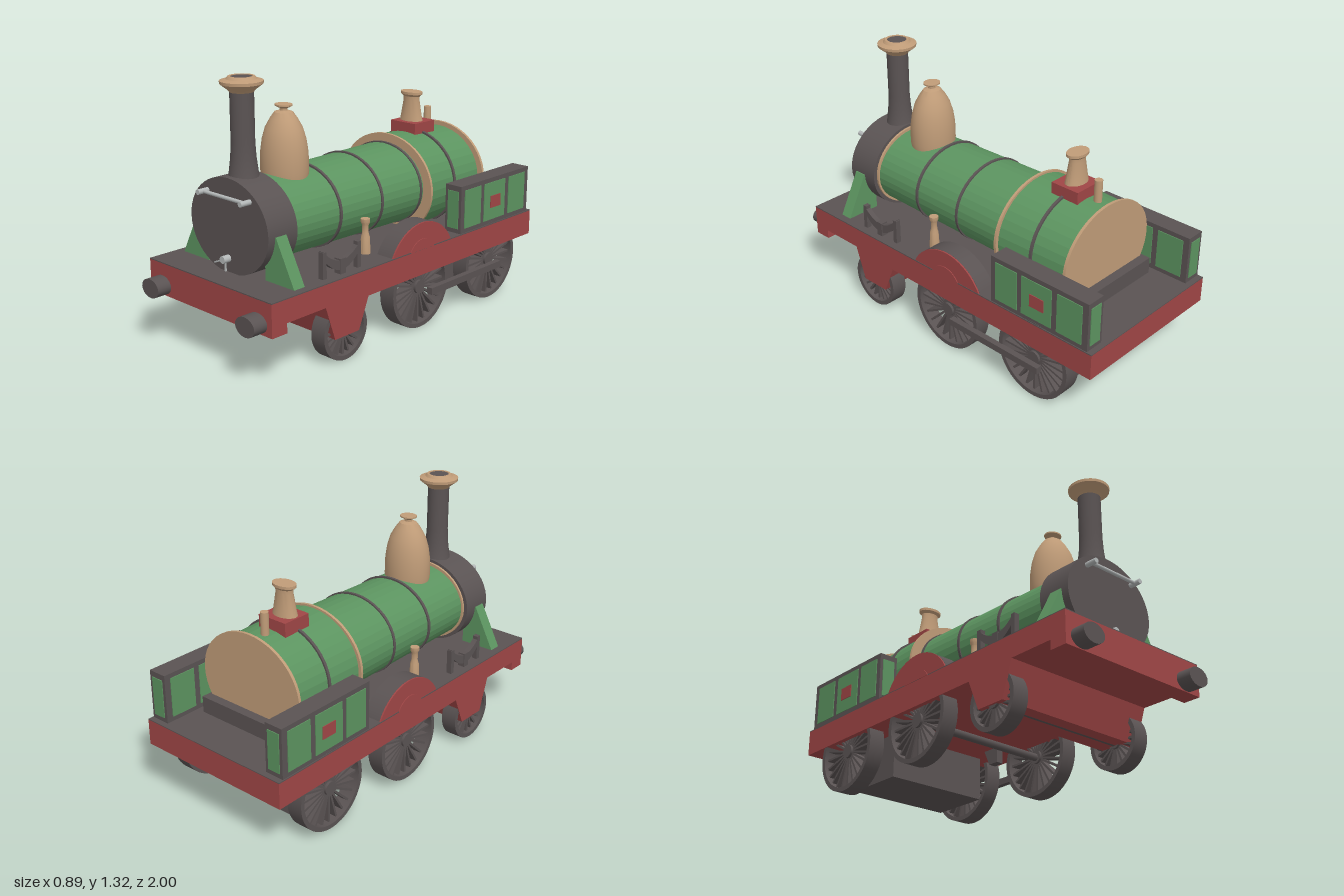
import * as THREE from 'three';
import { toCreasedNormals } from 'three/addons/utils/BufferGeometryUtils.js';

const paint = (name, color, flat = false) => {
  const m = new THREE.MeshStandardMaterial({ color, flatShading: flat });
  m.name = name;
  return m;
};

export function createModel() {
  const iron = paint('dark iron', 0x5a5353);
  const red = paint('frame red', 0xa04646);
  const green = paint('boiler green', 0x5c9460, true);
  const brass = paint('brass', 0xc09c78);
  const steel = paint('bright steel', 0xb4b8b8);

  const model = new THREE.Group();
  model.name = 'steamLocomotive';
  const body = new THREE.Group();
  body.name = 'body';
  body.position.x = -0.0135;
  model.add(body);

  const add = (name, geo, mat, x = 0, y = 0, z = 0, parent = body) => {
    const m = new THREE.Mesh(geo, mat);
    m.name = name;
    m.position.set(x, y, z);
    parent.add(m);
    return m;
  };
  // box given by its limits
  const box = (name, mat, x0, x1, y0, y1, z0, z1) =>
    add(name, new THREE.BoxGeometry(x1 - x0, y1 - y0, z1 - z0), mat, (x0 + x1) / 2, (y0 + y1) / 2, (z0 + z1) / 2);
  // elliptical drum lying along z
  const drum = (name, mat, z0, z1, rx0, rx1, ratio, x, y, seg = 40) => {
    const g = new THREE.CylinderGeometry(rx1, rx0, z1 - z0, seg).rotateX(Math.PI / 2).scale(1, ratio, 1);
    return add(name, g, mat, x, y, (z0 + z1) / 2);
  };
  // turned part standing upright, profile as [radius, y]
  const turned = (name, mat, profile, x, z, xScale = 1) => {
    const g = new THREE.LatheGeometry(profile.map(p => new THREE.Vector2(...p)), 28).scale(xScale, 1, 1);
    return add(name, toCreasedNormals(g, 0.6), mat, x, 0, z);
  };
  // (z, y) outline extruded across x, centred on x
  const across = (name, mat, shape, width, x = 0) => {
    const g = new THREE.ExtrudeGeometry(shape, { depth: width, bevelEnabled: false, curveSegments: 24 });
    return add(name, g.rotateY(-Math.PI / 2).translate(width / 2, 0, 0), mat, x);
  };
  const poly = pts => new THREE.Shape(pts.map(p => new THREE.Vector2(...p)));
  const sides = fn => [1, -1].forEach(fn);
  // box mirrored to the given side
  const sideBox = (s, name, mat, x0, x1, ...rest) =>
    s > 0 ? box(name, mat, x0, x1, ...rest) : box(name, mat, -x1, -x0, ...rest);

  // Frame with front beam and leading axle guard, and the deck on top
  across('frame', red, poly([
    [0.925, 0.412], [-0.998, 0.412], [-0.998, 0.28], [0.31, 0.28], [0.375, 0.125],
    [0.535, 0.125], [0.595, 0.3], [0.835, 0.3], [0.835, 0.252], [0.925, 0.252]]), 0.862);
  box('deck', iron, -0.431, 0.431, 0.411, 0.416, -0.998, 0.925);
  box('ashpan', iron, -0.283, 0.283, 0.055, 0.29, -0.76, -0.435);
  box('rearStep', iron, -0.283, 0.283, 0.416, 0.5, -0.78, -0.7);

  // Wheels
  const wheel = (s, name, r, z, n) => {
    const g = new THREE.Group();
    g.name = name;
    g.position.set(s * 0.385, r + 0.003, z);
    body.add(g);
    const ring = new THREE.Shape().absarc(0, 0, r, 0, Math.PI * 2);
    ring.holes.push(new THREE.Path().absarc(0, 0, r - 0.022, 0, Math.PI * 2, true));
    const tyre = new THREE.ExtrudeGeometry(ring, { depth: 0.085, bevelEnabled: false, curveSegments: 32 });
    add('tyre', toCreasedNormals(tyre.translate(0, 0, -0.0425).rotateY(Math.PI / 2), 0.6), iron, 0, 0, 0, g);
    add('hub', new THREE.CylinderGeometry(0.035, 0.035, 0.07, 20).rotateZ(Math.PI / 2), iron, 0, 0, 0, g);
    for (let i = 0; i < n; i++) {
      const spoke = new THREE.BoxGeometry(0.045, r - 0.03, 0.011).translate(0, (r - 0.01) / 2, 0);
      add('spoke', spoke, iron, 0, 0, 0, g).rotation.x = (i / n) * Math.PI * 2;
    }
  };
  const axles = [['leadingWheel', 0.143, 0.46, 20], ['drivingWheel', 0.21, -0.08, 24], ['trailingWheel', 0.21, -0.65, 24]];
  for (const [name, r, z, n] of axles) {
    sides(s => wheel(s, name, r, z, n));
    add('axle', new THREE.CylinderGeometry(0.02, 0.02, 0.74, 14).rotateZ(Math.PI / 2), iron, 0, r, z);
  }
  box('couplingRod', iron, 0.425, 0.456, 0.165, 0.2, -0.705, -0.13);

  // Wheel arches, springs, brake hangers, oilers, buffers, smokebox braces
  const arch = new THREE.Shape().absarc(-0.085, 0.303, 0.247, 0.471, Math.PI - 0.471);
  const boss = new THREE.Shape().absarc(-0.08, 0.37, 0.098, 0.45, Math.PI - 0.45);
  const spring = new THREE.Shape();
  spring.moveTo(0.565, 0.548);
  spring.quadraticCurveTo(0.4425, 0.415, 0.32, 0.548);
  spring.lineTo(0.33, 0.5);
  spring.quadraticCurveTo(0.4425, 0.37, 0.555, 0.5);
  sides(s => {
    across('wheelArch', iron, arch, 0.095, s * 0.373);
    across('archPlate', red, arch, 0.008, s * 0.425);
    across('archBoss', red, boss, 0.006, s * 0.43);
    across('spring', iron, spring, 0.028, s * 0.374);
    for (const z of [0.328, 0.557]) sideBox(s, 'springPost', iron, 0.36, 0.388, 0.41, 0.545, z - 0.012, z + 0.012);
    sideBox(s, 'springBuckle', iron, 0.355, 0.393, 0.41, 0.49, 0.425, 0.46);
    across('brakeHanger', iron, poly([[-0.24, 0.285], [-0.34, 0.285], [-0.3, 0.2], [-0.24, 0.2]]), 0.04, s * 0.25);
    turned('oiler', brass, [[0.026, 0.415], [0.022, 0.5], [0.016, 0.52], [0.016, 0.56], [0.023, 0.575],
      [0.023, 0.592], [0, 0.592]], s * 0.27, 0.16);
    drum('buffer', iron, 0.92, 1, 0.063, 0.063, 0.75, s * 0.338, 0.303, 28);
    const brace = new THREE.ExtrudeGeometry(
      poly([[s * 0.39, 0.414], [s * 0.275, 0.635], [s * 0.2, 0.635], [s * 0.2, 0.414]]),
      { depth: 0.065, bevelEnabled: false });
    add('smokeboxBrace', brace, green, 0, 0, 0.685);
  });

  // Boiler, firebox and smokebox
  drum('smokebox', iron, 0.612, 0.79, 0.27, 0.27, 0.85, 0, 0.638, 48);
  drum('boiler', green, -0.3, 0.615, 0.255, 0.24, 0.83, 0, 0.638, 36);
  drum('smokeboxRing', brass, 0.6, 0.614, 0.25, 0.25, 0.86, 0, 0.638);
  for (const z of [0.305, 0.017, -0.272])
    drum('boilerBand', iron, z - 0.007, z + 0.007, 0.256 - z * 0.01, 0.256 - z * 0.01, 0.84, 0, 0.638);
  drum('firebox', green, -0.72, -0.3, 0.276, 0.292, 0.875, 0, 0.63, 36);
  drum('fireboxBand', iron, -0.512, -0.498, 0.293, 0.293, 0.885, 0, 0.63);
  drum('fireboxFrontRing', brass, -0.304, -0.29, 0.308, 0.308, 0.86, 0, 0.63, 48);
  drum('fireboxBackplate', brass, -0.732, -0.717, 0.308, 0.308, 0.86, 0, 0.63, 48);

  // Chimney, steam dome, safety valve and whistle
  turned('chimney', iron, [[0.085, 0.82], [0.07, 0.87], [0.06, 0.95], [0.056, 1.02], [0.056, 1.26]], 0, 0.69);
  turned('chimneyCrown', brass, [[0.056, 1.25], [0.066, 1.262], [0.1, 1.288], [0.101, 1.302], [0.072, 1.31],
    [0.062, 1.322], [0.05, 1.322], [0.05, 1.3]], 0, 0.69);
  add('chimneyMouth', new THREE.CylinderGeometry(0.052, 0.052, 0.01, 28), iron, 0, 1.314, 0.69);
  turned('steamDome', brass, [[0.105, 0.8], [0.11, 0.84], [0.108, 0.93], [0.1, 0.99], [0.085, 1.045],
    [0.062, 1.09], [0.042, 1.12], [0.018, 1.128], [0.018, 1.138], [0.04, 1.15], [0.04, 1.157], [0, 1.157]], 0, 0.435, 1.13);
  box('valveBase', red, -0.1, 0.068, 0.84, 0.93, -0.595, -0.437);
  turned('safetyValve', brass, [[0.048, 0.925], [0.044, 0.95], [0.033, 1.04], [0.034, 1.06], [0.045, 1.072],
    [0.045, 1.085], [0, 1.085]], -0.022, -0.513, 1.45);
  add('whistle', new THREE.CylinderGeometry(0.02, 0.02, 0.13, 16), brass, -0.02, 0.92, -0.645);

  // Smokebox handrail and door handle
  add('handrail', new THREE.CylinderGeometry(0.009, 0.009, 0.3, 12).rotateZ(Math.PI / 2), steel, 0.008, 0.785, 0.82);
  for (const x of [-0.142, 0.152])
    add('handrailPost', new THREE.CylinderGeometry(0.013, 0.013, 0.065, 12).rotateX(Math.PI / 2), steel, x, 0.785, 0.818);
  add('doorKnob', new THREE.CylinderGeometry(0.018, 0.018, 0.04, 14).rotateX(Math.PI / 2), steel, -0.006, 0.483, 0.81);
  const lever = (len, x, y, turn) =>
    add('doorLever', new THREE.BoxGeometry(0.007, len, 0.007), steel, x, y, 0.812).rotation.z = turn;
  lever(0.085, -0.042, 0.468, -1.17);
  lever(0.06, -0.004, 0.455, 0);

  // Side bunkers with framed panels
  sides(s => {
    sideBox(s, 'bunker', iron, 0.325, 0.426, 0.414, 0.667, -0.968, -0.387);
    for (const [z0, z1] of [[-0.55, -0.415], [-0.758, -0.578], [-0.935, -0.79]]) {
      sideBox(s, 'bunkerPanel', green, 0.424, 0.43, 0.44, 0.643, z0, z1);
      sideBox(s, 'bunkerInnerPanel', green, 0.321, 0.327, 0.44, 0.643, z0, z1);
    }
    sideBox(s, 'bunkerBadge', red, 0.428, 0.434, 0.505, 0.57, -0.715, -0.63);
    for (const z of [-0.387, -0.968])
      sideBox(s, 'bunkerEndPanel', green, 0.342, 0.41, 0.44, 0.638, z - 0.004, z + 0.004);
  });

  return model;
}
